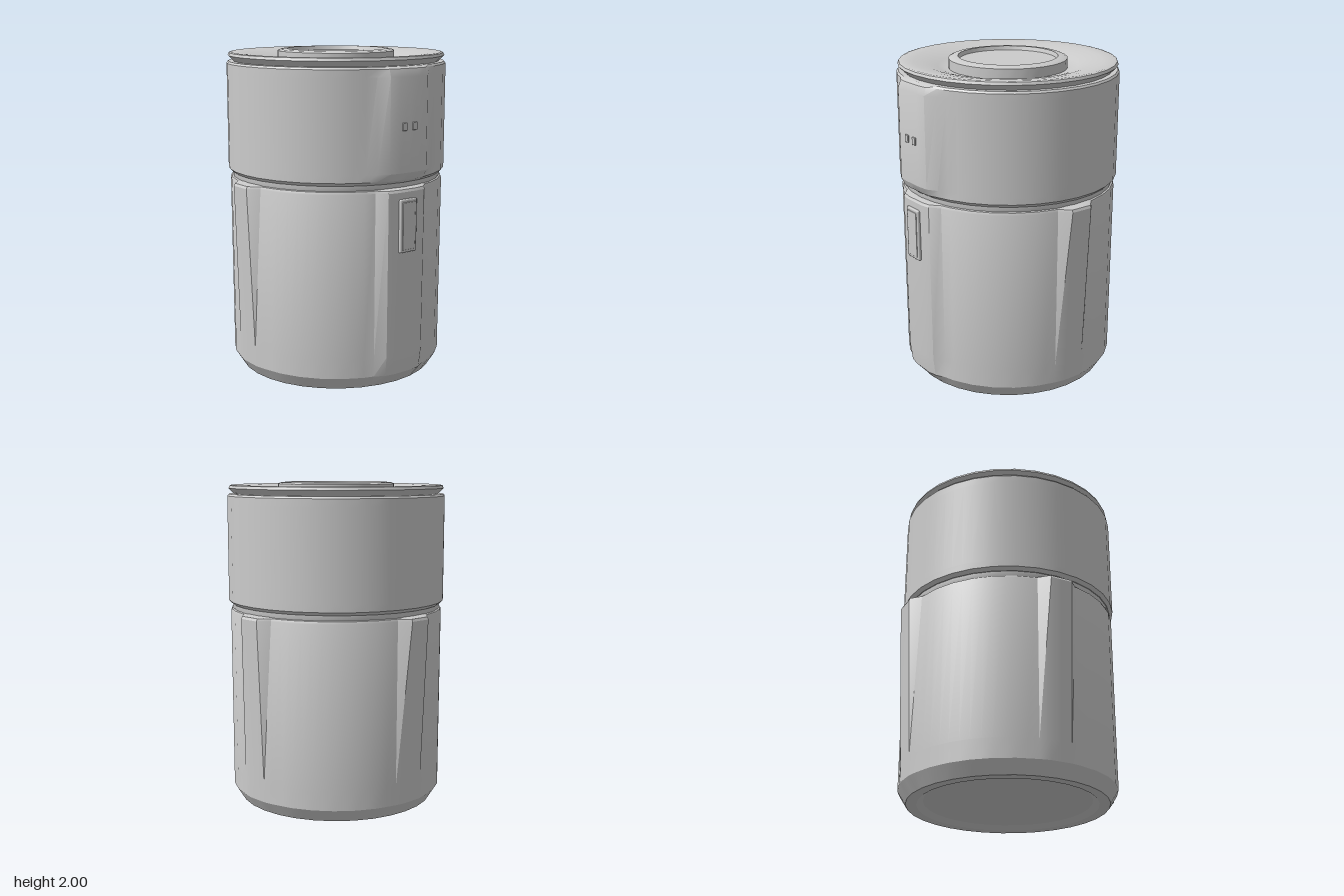
import * as THREE from 'three';
import { toCreasedNormals } from 'three/addons/utils/BufferGeometryUtils.js';
import { RoundedBoxGeometry } from 'three/addons/geometries/RoundedBoxGeometry.js';

const SEG = 64; // two steps per visible facet
const material = new THREE.MeshStandardMaterial({ color: 0xcccccc });

// Surface through rings [radius, y, bulge]; profile runs bottom centre -> outside -> top centre.
// bulge(k, r) gives the radius at step k (k = 0 faces front, 16 = left, 32 = back, 48 = right).
function turned(name, profile, crease = 0.45) {
  const pos = [], index = [];
  for (const [r, y, bulge] of profile) {
    for (let k = 0; k <= SEG; k++) {
      const a = ((k % SEG) / SEG) * Math.PI * 2;
      const facet = k % 2 ? Math.cos(Math.PI * 2 / SEG) : 1;
      const rad = bulge ? bulge(k % SEG, r * facet) : r * facet;
      pos.push(Math.sin(a) * rad, y, Math.cos(a) * rad);
    }
  }
  const row = SEG + 1;
  for (let j = 0; j < profile.length - 1; j++) {
    for (let k = 0; k < SEG; k++) {
      const a = j * row + k, b = a + 1, c = a + row, d = c + 1;
      if (profile[j][0] > 0) index.push(a, b, d);
      if (profile[j + 1][0] > 0) index.push(a, d, c);
    }
  }
  const g = new THREE.BufferGeometry();
  g.setAttribute('position', new THREE.Float32BufferAttribute(pos, 3));
  g.setIndex(index);
  const mesh = new THREE.Mesh(toCreasedNormals(g, crease), material);
  mesh.name = name;
  return mesh;
}

const stepsFrom = (k, centre) => {
  const d = Math.abs(k - centre) % SEG;
  return Math.min(d, SEG - d);
};
const flatAt = (depth, steps) => depth / Math.cos((steps / SEG) * Math.PI * 2);

// Lower body: tapered lugs at left, back and right plus a shallow front pad
const lugs = (side, front) => (k, r) => {
  for (const centre of [16, 32, 48]) {
    const s = stepsFrom(k, centre);
    if (s <= 1) return Math.max(r, flatAt(side, s));
  }
  const s = stepsFrom(k, 0);
  return s <= 2 ? Math.max(r, flatAt(front, s) - (s === 2 ? 0.012 : 0)) : r;
};

// Upper body: flat front panel that blends into the cylinder
const panel = (depth, sideBlend) => (k, r) => {
  const s = stepsFrom(k, 0);
  if (s <= 1) return flatAt(depth, s);
  if (s === 2) return Math.max(r, flatAt(depth, s) - 0.008);
  if (s === 3) return r + sideBlend;
  return r;
};

function box(name, w, h, d, x, y, z) {
  const mesh = new THREE.Mesh(new RoundedBoxGeometry(w, h, d, 1, Math.min(w, d) * 0.2), material);
  mesh.name = name;
  mesh.position.set(x, y, z);
  return mesh;
}

export function createModel() {
  const model = new THREE.Group();
  model.name = 'grinder';

  // Cup with recessed foot, chamfered base and top ledge
  model.add(turned('lowerBody', [
    [0, 0.025], [0.51, 0.025], [0.55, 0], [0.615, 0],
    [0.665, 0.08, lugs(0.665, 0.68)],
    [0.665, 0.2, lugs(0.67, 0.695)],
    [0.668, 1.2, lugs(0.716, 0.7)],
    [0.662, 1.215, lugs(0.708, 0.692)],
    [0.645, 1.222], [0, 1.222],
  ]));

  // Recessed neck between the two bodies
  model.add(turned('neck', [[0.645, 1.2], [0.655, 1.225], [0.655, 1.26], [0, 1.26]]));

  // Upper body with front panel
  model.add(turned('upperBody', [
    [0, 1.25], [0.66, 1.25],
    [0.68, 1.27, panel(0.685, 0.004)],
    [0.68, 1.315, panel(0.707, 0.014)],
    [0.68, 1.87, panel(0.707, 0.004)],
    [0.68, 1.915, panel(0.69, 0)],
    [0.67, 1.927], [0, 1.927],
  ]));

  // Lid with a sharp rim and a dished top
  model.add(turned('lid', [
    [0, 1.92], [0.635, 1.925], [0.672, 1.962], [0.665, 1.978], [0.65, 1.982],
    [0.58, 1.975], [0.5, 1.962], [0.43, 1.943], [0.39, 1.93], [0.35, 1.928], [0, 1.928],
  ]));

  // Raised knob ring with a shallow dish
  model.add(turned('lidKnob', [
    [0, 1.92], [0.363, 1.92], [0.363, 1.988], [0.345, 1.996], [0.305, 2],
    [0.298, 1.975], [0, 1.975],
  ], 0.35));

  // Front button with a raised inner face
  model.add(box('frontButton', 0.126, 0.32, 0.04, -0.004, 1.0, 0.696));
  model.add(box('frontButtonFace', 0.094, 0.285, 0.02, -0.004, 1.0, 0.71));

  // Two small indicators on the panel
  for (const x of [-0.04, 0.036]) {
    model.add(box('indicator', 0.034, 0.046, 0.02, x, 1.585, 0.706));
  }
  return model;
}
